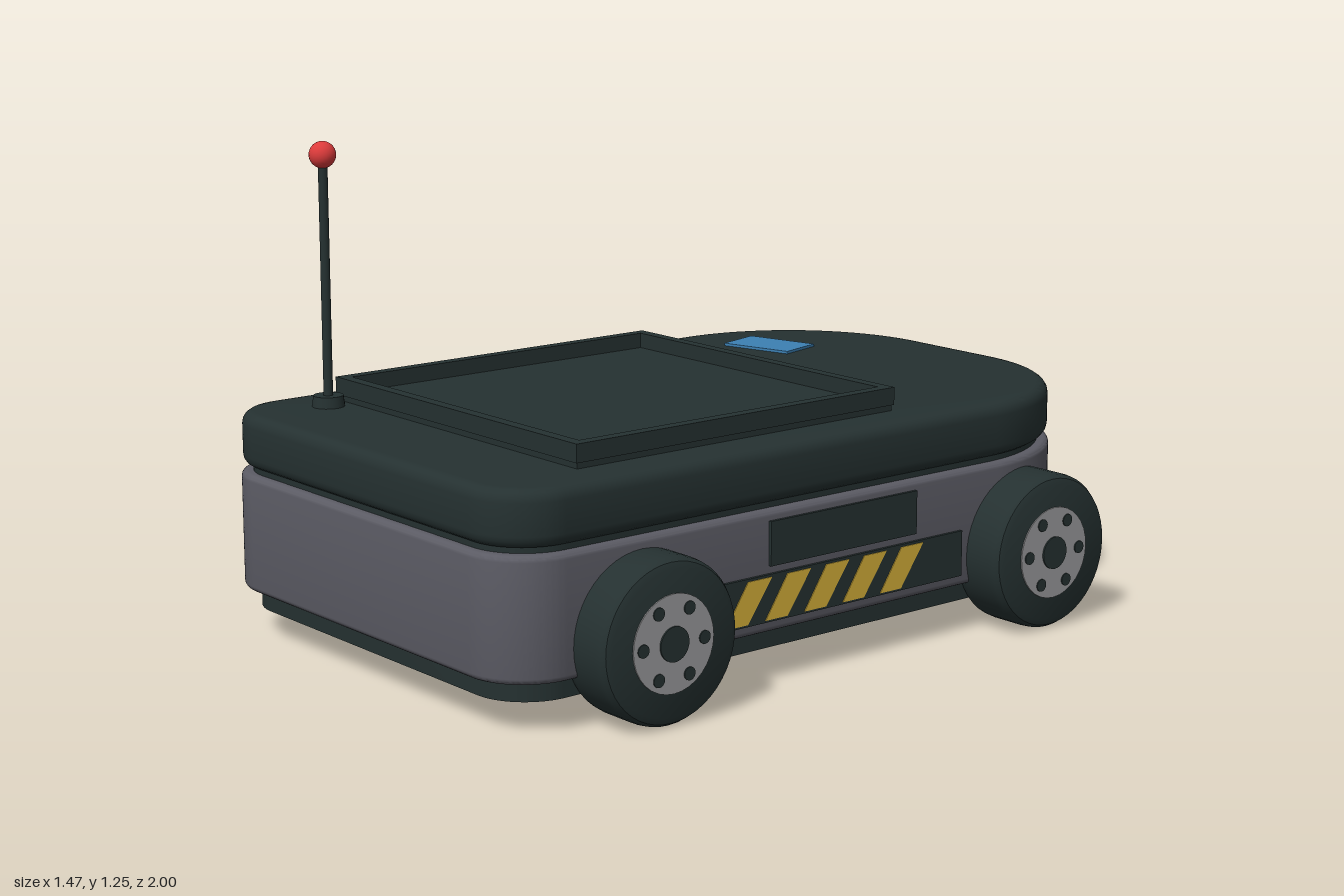
import * as THREE from 'three';
import { toCreasedNormals } from 'three/addons/utils/BufferGeometryUtils.js';

const paint = (name, color) => {
  const m = new THREE.MeshStandardMaterial({ color });
  m.name = name;
  return m;
};

// Plan outline: square front with small corners, broad rounded back (shape y = -z)
function planShape(inset) {
  const w = 0.62 - inset, l = 1 - inset, front = 0.16 - inset * 0.5, back = 0.47 - inset * 0.5;
  const s = new THREE.Shape();
  s.moveTo(-w + front, -l);
  s.lineTo(w - front, -l);
  s.absarc(w - front, -l + front, front, -Math.PI / 2, 0, false);
  s.lineTo(w, l - back);
  s.absarc(w - back, l - back, back, 0, Math.PI / 2, false);
  s.lineTo(-w + back, l);
  s.absarc(-w + back, l - back, back, Math.PI / 2, Math.PI, false);
  s.lineTo(-w, -l + front);
  s.absarc(-w + front, -l + front, front, Math.PI, Math.PI * 1.5, false);
  return s;
}

// Horizontal slab between two heights with rounded rims
function slab(shape, y0, y1, bevel) {
  const g = new THREE.ExtrudeGeometry(shape, {
    depth: y1 - y0 - 2 * bevel, curveSegments: 20,
    bevelEnabled: bevel > 0, bevelSize: bevel, bevelThickness: bevel,
    bevelOffset: -bevel, bevelSegments: 4,
  });
  g.rotateX(-Math.PI / 2);
  g.translate(0, y0 + bevel, 0);
  return toCreasedNormals(g, 0.6);
}

function rect(x0, x1, y0, y1, Type = THREE.Shape) {
  return new Type([[x0, y0], [x1, y0], [x1, y1], [x0, y1]].map(p => new THREE.Vector2(...p)));
}

export function createModel() {
  const dark = paint('darkShell', 0x253131);
  const grey = paint('greyBody', 0x5b5b64);
  const silver = paint('silverHub', 0x9b9b9d);
  const yellow = paint('hazardYellow', 0xd6b03a);
  const blue = paint('blueAccent', 0x3c80b3);
  const red = paint('redTip', 0xdc3b3b);

  const model = new THREE.Group();
  model.name = 'roverVehicle';
  const add = (name, geometry, material, x = 0, y = 0, z = 0, parent = model) => {
    const m = new THREE.Mesh(geometry, material);
    m.name = name;
    m.position.set(x, y, z);
    parent.add(m);
    return m;
  };

  // Stacked hull
  add('chassis', slab(planShape(0.035), 0.08, 0.15, 0), dark);
  add('body', slab(planShape(0), 0.13, 0.43, 0.015), grey);
  add('neck', slab(planShape(0.025), 0.42, 0.46, 0), dark);
  add('lid', slab(planShape(0.004), 0.443, 0.58, 0.03), dark);

  // Cargo deck: recessed panel inside a raised frame
  const frame = rect(-0.5, 0.5, -0.72, 0.28);
  frame.holes.push(rect(-0.47, 0.47, -0.69, 0.25, THREE.Path));
  add('deckFrame', slab(frame, 0.595, 0.64, 0), dark);
  add('deckPanel', new THREE.BoxGeometry(0.99, 0.025, 0.99), dark, 0, 0.5875, 0.22);

  // Antenna
  const antenna = new THREE.Group();
  antenna.name = 'antenna';
  antenna.position.set(-0.45, 0, 0.775);
  model.add(antenna);
  add('antennaBase', new THREE.CylinderGeometry(0.038, 0.042, 0.032, 24), dark, 0, 0.592, 0, antenna);
  add('antennaRod', new THREE.CylinderGeometry(0.012, 0.012, 0.6, 16), dark, 0, 0.9, 0, antenna);
  add('antennaTip', new THREE.SphereGeometry(0.034, 24, 16), red, 0, 1.215, 0, antenna);

  // Blue label on the lid
  add('lidLabel', new THREE.BoxGeometry(0.21, 0.008, 0.135), blue, -0.34, 0.583, -0.605).rotation.y = 0.26;

  // Tyre section, turned to roll about the x axis
  const profile = [[0, -0.08], [0.175, -0.08], [0.19, -0.074], [0.198, -0.062], [0.2, -0.045],
    [0.2, 0.045], [0.198, 0.062], [0.19, 0.074], [0.175, 0.08], [0, 0.08]];
  const tyre = toCreasedNormals(
    new THREE.LatheGeometry(profile.map(p => new THREE.Vector2(...p)), 48).rotateZ(-Math.PI / 2), 0.6);
  const disc = (r, h) => new THREE.CylinderGeometry(r, r, h, 32).rotateZ(-Math.PI / 2);
  const hub = disc(0.118, 0.02), cap = disc(0.042, 0.02), bolt = disc(0.016, 0.02);

  // Slanted hazard stripe lying in the y-z plane
  const stripe = new THREE.ExtrudeGeometry(
    new THREE.Shape([[0, 0.165], [-0.07, 0.27], [-0.145, 0.27], [-0.07, 0.165]]
      .map(p => new THREE.Vector2(...p)).reverse()),
    { depth: 0.006, bevelEnabled: false });
  stripe.translate(0, 0, -0.003).rotateY(-Math.PI / 2);

  for (const side of [1, -1]) {
    const label = side > 0 ? 'left' : 'right';

    for (const [end, z] of [['Front', 0.625], ['Back', -0.625]]) {
      const wheel = new THREE.Group();
      wheel.name = label + end + 'Wheel';
      wheel.position.set(side * 0.65, 0.203, z);
      if (side < 0) wheel.rotation.y = Math.PI;
      model.add(wheel);
      add('tyre', tyre, dark, 0, 0, 0, wheel);
      add('hub', hub, silver, 0.073, 0, 0, wheel);
      add('hubCap', cap, dark, 0.077, 0, 0, wheel);
      for (let i = 0; i < 6; i++) {
        const a = i * Math.PI / 3;
        add('bolt', bolt, dark, 0.076, 0.09 * Math.sin(a), 0.09 * Math.cos(a), wheel);
      }
    }

    // Side plates and hazard stripes
    add(label + 'SidePanel', new THREE.BoxGeometry(0.009, 0.11, 0.48), dark, side * 0.6235, 0.35, 0);
    add(label + 'HazardPlate', new THREE.BoxGeometry(0.009, 0.117, 0.8), dark, side * 0.6235, 0.218, 0);
    for (let i = 0; i < 5; i++) {
      add(label + 'HazardStripe', stripe, yellow, side * 0.627, 0, 0.383 - i * 0.125);
    }

    // Marker light on the rounded back corner
    add(label + 'MarkerLight', new THREE.BoxGeometry(0.028, 0.15, 0.02), blue, side * 0.41, 0.28, -0.918)
      .rotation.y = -side * Math.atan2(0.26, 0.39);
  }
  return model;
}
